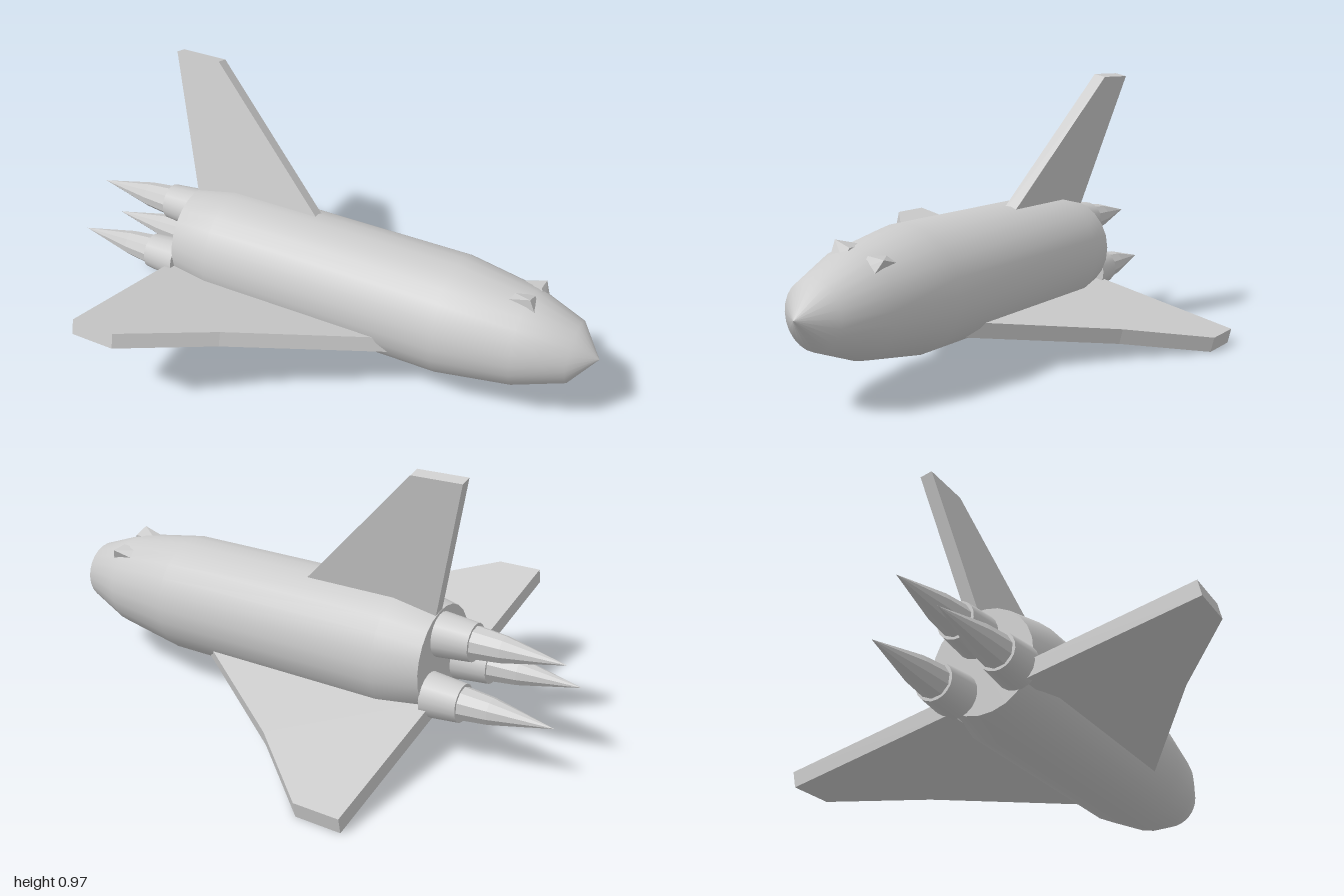
import * as THREE from 'three';
import { ConvexGeometry } from 'three/addons/geometries/ConvexGeometry.js';

const hull = new THREE.MeshStandardMaterial({ color: 0xcccccc });
hull.name = 'light grey hull';

function part(name, geometry, parent) {
  const mesh = new THREE.Mesh(geometry, hull);
  mesh.name = name;
  parent.add(mesh);
  return mesh;
}

// Flat plate from an outline of [x, y] points
function plate(outline, depth) {
  const shape = new THREE.Shape(outline.map(([x, y]) => new THREE.Vector2(x, y)));
  return new THREE.ExtrudeGeometry(shape, { depth, bevelEnabled: false });
}

// Surface of revolution along x from [x, radius] points, tail to nose
function spun(profile, sides) {
  const points = profile.map(([x, r]) => new THREE.Vector2(r, x));
  return new THREE.LatheGeometry(points, sides).rotateZ(-Math.PI / 2);
}

export function createModel() {
  const model = new THREE.Group();
  model.name = 'spaceplane';

  // The whole craft is banked about its long axis
  const craft = new THREE.Group();
  craft.name = 'craft';
  craft.position.set(0, 0.311, -0.022);
  craft.rotation.x = -0.24;
  model.add(craft);

  // Fuselage and its flat rear bulkhead
  part('fuselage', spun([
    [-0.567, 0.18], [-0.41, 0.213], [0.48, 0.213],
    [0.745, 0.172], [0.917, 0.109], [1, 0],
  ], 24), craft);
  part('rearBulkhead', new THREE.CircleGeometry(0.18, 24).rotateY(-Math.PI / 2), craft)
    .position.x = -0.567;

  // Cranked delta wings
  for (const side of [1, -1]) {
    const outline = [
      [0.36, 0.13], [-0.16, 0.488], [-0.43, 0.72], [-0.59, 0.72], [-0.59, 0.13],
    ].map(([x, s]) => [x, s * side]);
    part(side > 0 ? 'leftWing' : 'rightWing',
      plate(outline, 0.055).rotateX(Math.PI / 2), craft).position.y = -0.085;
  }

  // Swept tail fin
  part('tailFin', plate([
    [-0.545, 0.1], [0.03, 0.1], [-0.52, 0.68], [-0.695, 0.68],
  ], 0.044), craft).position.z = -0.022;

  // Three engines with faceted exhaust cones
  [[0.093, 0], [-0.074, 0.11], [-0.074, -0.11]].forEach(([y, z], i) => {
    const engine = new THREE.Group();
    engine.name = 'engine' + (i + 1);
    engine.position.set(0, y, z);
    craft.add(engine);
    part('engineBell', new THREE.CylinderGeometry(0.077, 0.065, 0.125, 20)
      .rotateZ(-Math.PI / 2), engine).position.x = -0.6275;
    const cone = spun([[-1, 0], [-0.79, 0.046], [-0.68, 0.058]], 10).toNonIndexed();
    cone.computeVertexNormals();
    part('exhaustCone', cone, engine);
  });

  // Wedge-shaped cockpit windows
  for (const side of [1, -1]) {
    const corners = [
      [0.757, 0.178, 0.095], [0.757, 0.171, 0.036],
      [0.778, 0.13, 0.085], [0.778, 0.13, 0.033],
      [0.66, 0.15, 0.088], [0.66, 0.165, 0.036], [0.66, 0.12, 0.06],
    ].map(([x, y, z]) => new THREE.Vector3(x, y, z * side));
    part(side > 0 ? 'leftWindow' : 'rightWindow', new ConvexGeometry(corners), craft);
  }

  return model;
}
